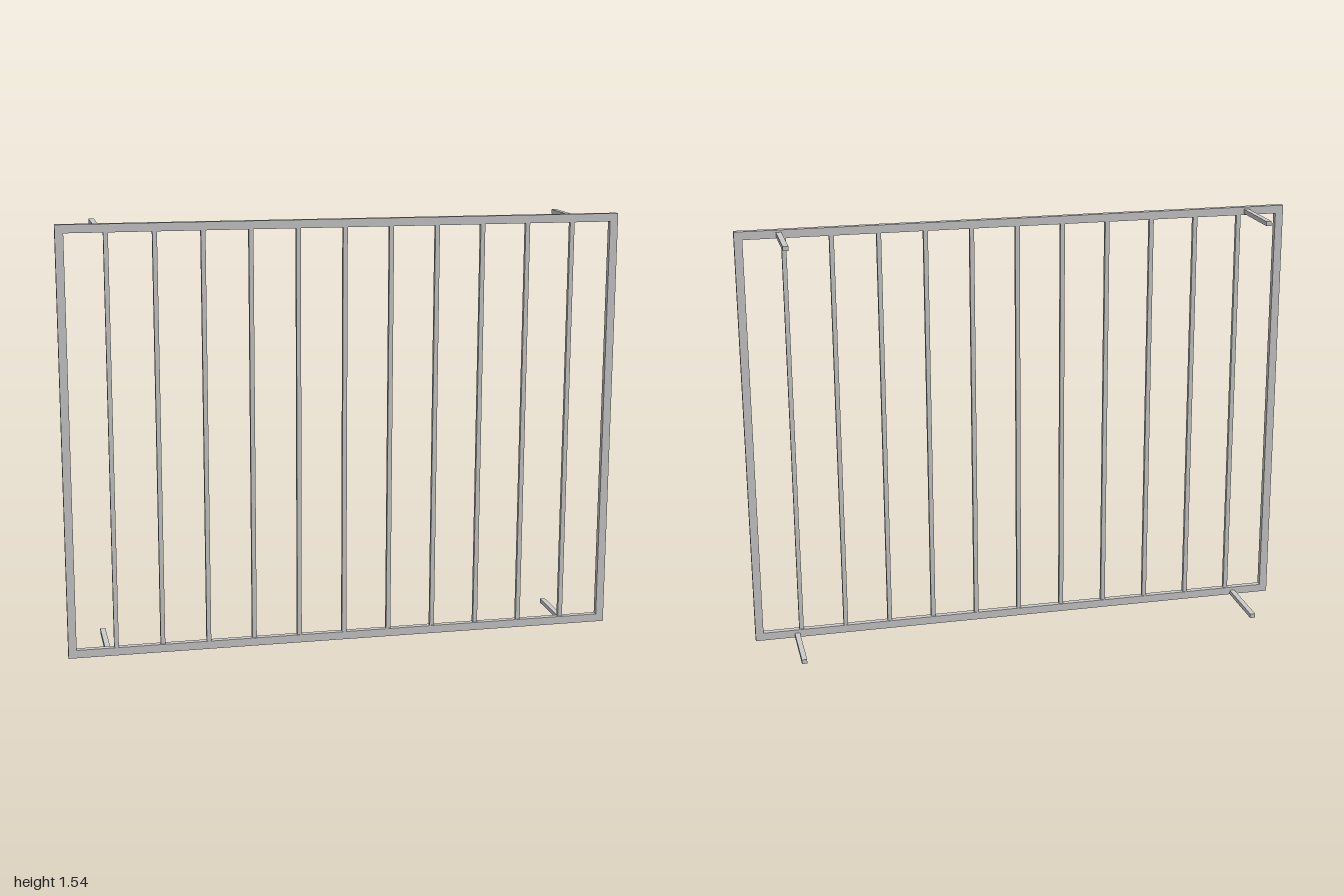
import * as THREE from 'three';

export function createModel() {
  const model = new THREE.Group();
  model.name = 'windowGrille';
  const material = new THREE.MeshStandardMaterial({ color: 0xcccccc, flatShading: true });

  const W = 1.995, H = 1.533; // outer frame size
  const T = 0.029, D = 0.022; // frame bar width and depth

  // Everything sits in a slightly skewed group centred on the frame
  const grille = new THREE.Group();
  grille.name = 'grille';
  grille.position.set(0, 0.7695, 0.1125);
  grille.rotation.set(-0.002, 0.0255, -0.003);
  model.add(grille);

  function bar(name, w, h, d, x, y, z) {
    const mesh = new THREE.Mesh(new THREE.BoxGeometry(w, h, d), material);
    mesh.name = name;
    mesh.position.set(x, y, z);
    grille.add(mesh);
  }

  // Outer frame
  for (const s of [-1, 1]) {
    const side = s > 0 ? 'left' : 'right';
    const level = s > 0 ? 'top' : 'bottom';
    bar(side + 'Post', T, H, D, s * (W - T) / 2, 0, 0);
    bar(level + 'Rail', W - 2 * T, T, D, 0, s * (H - T) / 2, 0);
  }

  // Vertical infill bars
  for (let i = -5; i <= 5; i++) {
    bar('verticalBar' + (i + 6), 0.016, H - 2 * T, 0.016, i * 0.1655, 0, 0);
  }

  // Wall brackets reaching back from the rails, set slightly off centre
  const tip = -0.242, root = -D / 2;
  for (const sx of [-1, 1]) {
    for (const sy of [-1, 1]) {
      const name = (sy > 0 ? 'top' : 'bottom') + (sx > 0 ? 'Left' : 'Right') + 'Bracket';
      bar(name, 0.019, 0.016, root - tip, sx * 0.85 - 0.006, sy * 0.7545 - 0.004, (root + tip) / 2);
    }
  }
  return model;
}
